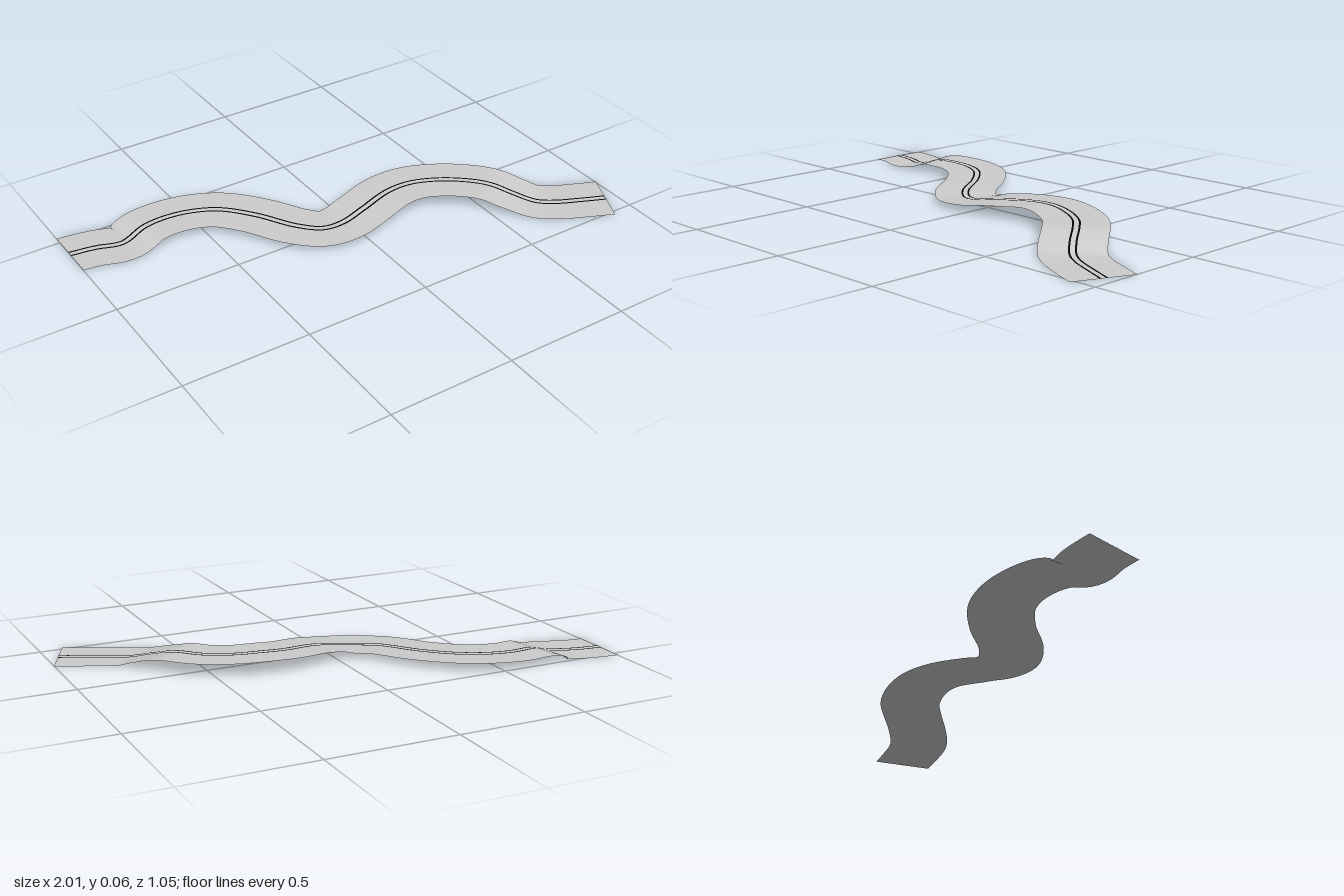
import * as THREE from 'three';

// Centre line of the road: x, height, z
const PATH = [
  [-1, .007, -.407], [-.9, .007, -.392], [-.8, .009, -.363], [-.7, .035, -.381],
  [-.6, .037, -.39], [-.5, .038, -.372], [-.4, .038, -.322], [-.3, .034, -.218],
  [-.2, .029, -.07], [-.12, .025, -.005], [-.04, .032, .01], [.06, .047, -.006],
  [.2, .058, -.043], [.3, .062, -.043], [.4, .059, -.015], [.5, .056, .045],
  [.58, .054, .13], [.64, .032, .21], [.7, .01, .277], [.76, .006, .319],
  [.86, .006, .367], [.955, .006, .408],
].map((p) => new THREE.Vector3(...p));
const STEPS = 160;
const curve = new THREE.CatmullRomCurve3(PATH, false, 'centripetal');

// Ribbon that follows the centre line between two sideways offsets
function ribbon(name, material, from, to, lift, across) {
  const pos = [], index = [], row = across + 1;
  for (let i = 0; i <= STEPS; i++) {
    const u = i / STEPS, p = curve.getPointAt(u), t = curve.getTangentAt(u);
    if (i === 0) t.set(1, 0, 0);
    const side = new THREE.Vector3(-t.z, 0, t.x).normalize();
    for (let j = 0; j <= across; j++) {
      const d = from + (to - from) * j / across;
      pos.push(p.x + side.x * d, p.y + lift, p.z + side.z * d);
      if (i < STEPS && j < across) {
        const a = i * row + j, b = a + row;
        index.push(a, a + 1, b, b, a + 1, b + 1);
      }
    }
  }
  const geo = new THREE.BufferGeometry();
  geo.setAttribute('position', new THREE.Float32BufferAttribute(pos, 3));
  geo.setIndex(index);
  geo.computeVertexNormals();
  const mesh = new THREE.Mesh(geo, material);
  mesh.name = name;
  return mesh;
}

export function createModel() {
  const group = new THREE.Group();
  group.name = 'windingRoad';
  const surface = new THREE.MeshStandardMaterial({ color: 0xcccccc, side: THREE.DoubleSide });
  surface.name = 'light grey';
  const paint = new THREE.MeshStandardMaterial({ color: 0x050505, side: THREE.DoubleSide });
  paint.name = 'black';

  // Road surface
  group.add(ribbon('roadSurface', surface, -.122, .122, 0, 4));
  // Double centre line
  for (const [name, d] of [['leftCentreLine', -.012], ['rightCentreLine', .012]]) {
    group.add(ribbon(name, paint, d - .0035, d + .0035, .0012, 1));
  }
  // Rest on the ground
  const box = new THREE.Box3().setFromObject(group);
  group.position.y = -box.min.y;
  return group;
}
